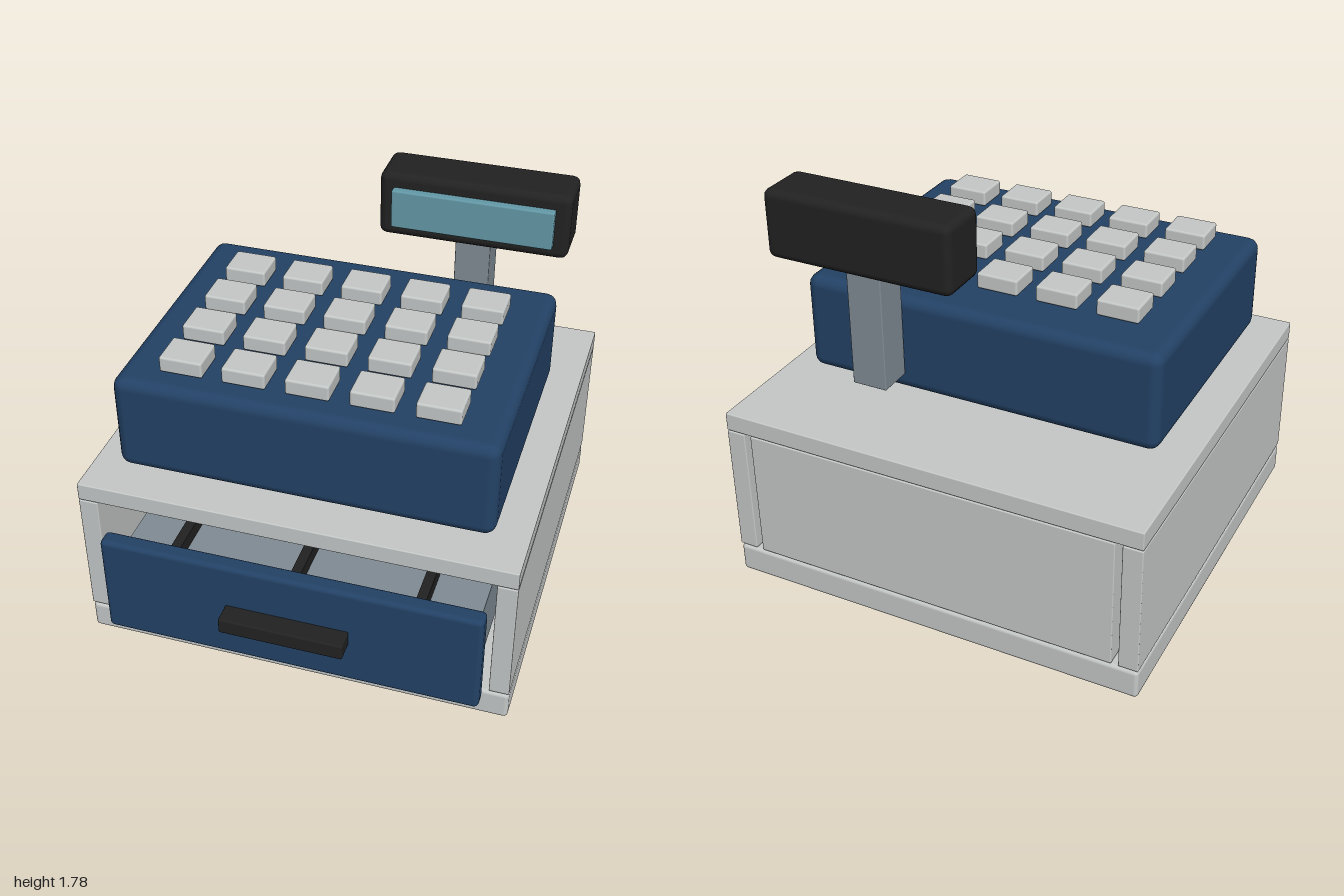
import * as THREE from 'three';
import { RoundedBoxGeometry } from 'three/addons/geometries/RoundedBoxGeometry.js';

const mat = (name, color) => {
  const m = new THREE.MeshStandardMaterial({ color });
  m.name = name;
  return m;
};

export function createModel() {
  const lightGrey = mat('light grey', 0xc5c9c8);
  const blue = mat('navy blue', 0x234266);
  const black = mat('black', 0x222222);
  const steel = mat('steel grey', 0x808c94);
  const glass = mat('display glass', 0x6499a7);

  const root = new THREE.Group();
  root.name = 'cashRegister';

  const group = (name) => {
    const g = new THREE.Group();
    g.name = name;
    root.add(g);
    return g;
  };

  // Box given by its extents on each axis, with an optional rounded edge
  const box = (parent, name, material, [x0, x1], [y0, y1], [z0, z1], radius = 0) => {
    const size = [x1 - x0, y1 - y0, z1 - z0];
    const geometry = radius
      ? new RoundedBoxGeometry(...size, 2, radius)
      : new THREE.BoxGeometry(...size);
    const mesh = new THREE.Mesh(geometry, material);
    mesh.name = name;
    mesh.position.set((x0 + x1) / 2, (y0 + y1) / 2, (z0 + z1) / 2);
    parent.add(mesh);
  };

  // Open-fronted cabinet
  const cabinet = group('cabinet');
  const depth = [-1, 0.83];
  box(cabinet, 'base', lightGrey, [-0.957, 0.957], [0, 0.135], depth, 0.018);
  box(cabinet, 'leftWall', lightGrey, [0.87, 0.957], [0.142, 0.738], depth, 0.005);
  box(cabinet, 'rightWall', lightGrey, [-0.957, -0.87], [0.142, 0.738], depth, 0.005);
  box(cabinet, 'backPanel', lightGrey, [-0.84, 0.84], [0.142, 0.738], [-1, -0.91], 0.005);
  box(cabinet, 'topPanel', lightGrey, [-0.957, 0.957], [0.742, 0.825], depth, 0.005);

  // Slightly open drawer with a divided tray
  const drawer = group('drawer');
  box(drawer, 'drawerFront', blue, [-0.843, 0.843], [0.1, 0.597], [0.825, 0.908], 0.022);
  box(drawer, 'drawerHandle', black, [-0.275, 0.275], [0.31, 0.385], [0.9, 1], 0.008);
  box(drawer, 'drawerTray', steel, [-0.8, 0.8], [0.16, 0.46], [-0.75, 0.826]);
  for (const x of [-0.55, 0, 0.55]) {
    box(drawer, 'trayDivider', black, [x - 0.022, x + 0.022], [0.45, 0.525], [-0.7, 0.826]);
  }

  // Keyboard housing and its grid of keys
  const keyboard = group('keyboard');
  box(keyboard, 'housing', blue, [-0.82, 0.82], [0.855, 1.302], [-0.54, 0.692], 0.05);
  for (let row = 0; row < 4; row++) {
    for (let col = 0; col < 5; col++) {
      const x = (col - 2) * 0.273;
      const z = (row - 1) * 0.252;
      box(keyboard, 'key', lightGrey, [x - 0.094, x + 0.094], [1.308, 1.38], [z - 0.081, z + 0.081], 0.01);
    }
  }

  // Raised customer display
  const display = group('display');
  box(display, 'displayPost', steel, [0.33, 0.49], [0.945, 1.5], [-0.712, -0.553], 0.005);
  box(display, 'displayCase', black, [-0.02, 0.842], [1.475, 1.782], [-0.758, -0.51], 0.035);
  box(display, 'displayScreen', glass, [0.046, 0.776], [1.538, 1.72], [-0.53, -0.473], 0.008);

  return root;
}
